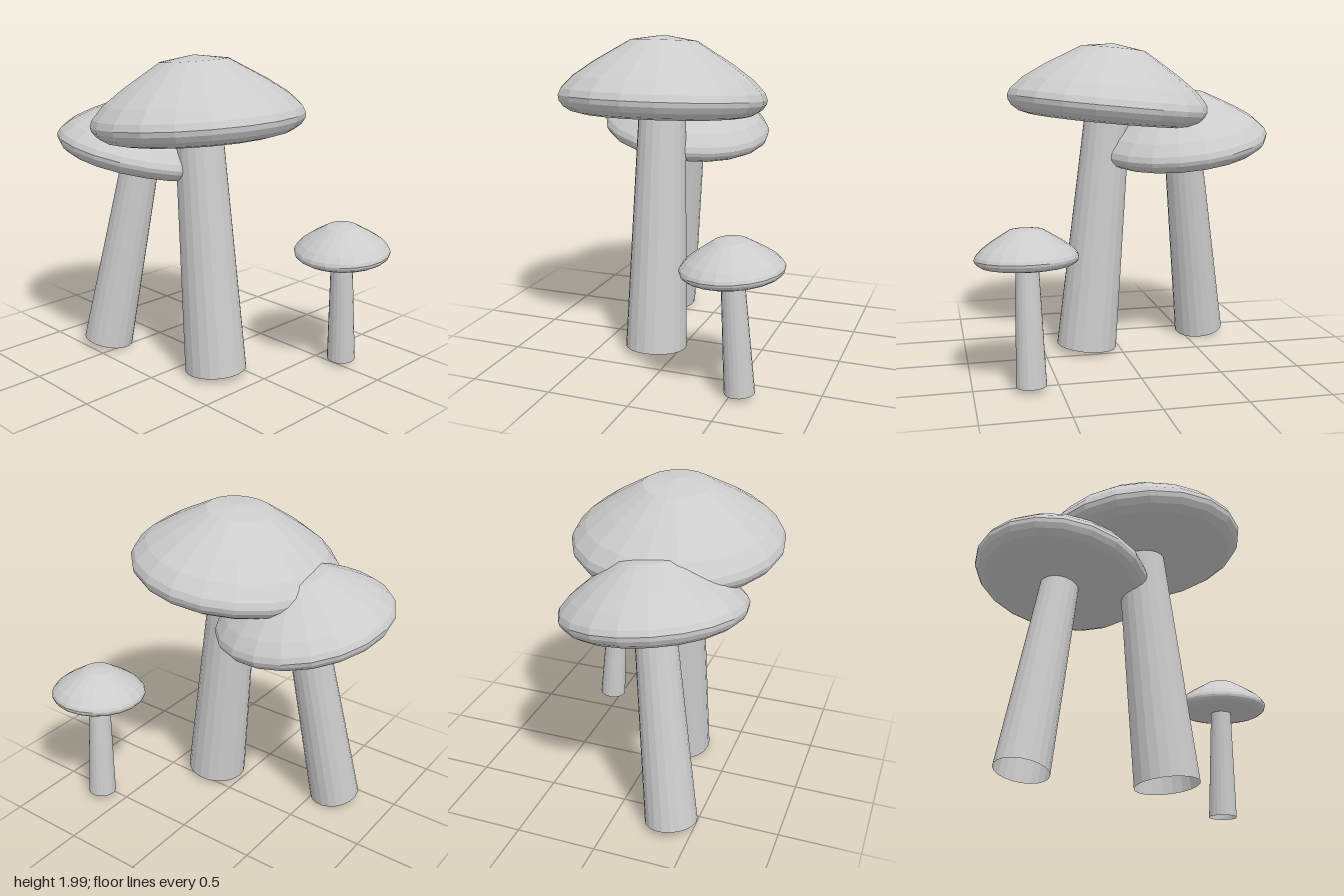
import * as THREE from 'three';

const SIDES = 20;

// Cap outline from the flat underside, round the rim and up to the crown (radius, height).
const CAP = [
  [0, 0], [0.51, 0], [0.57, 0.014], [0.618, 0.044], [0.642, 0.078], [0.648, 0.108],
  [0.632, 0.148], [0.56, 0.225], [0.434, 0.315], [0.207, 0.453], [0, 0.485],
];

// base and top are the ends of the stem's centre line; the cap sits on top, square to it.
const MUSHROOMS = [
  { name: 'largeMushroom', base: [0.215, 0.036, 0.145], top: [0.073, 1.515, 0.15], r0: 0.195, r1: 0.147, cap: 1 },
  { name: 'mediumMushroom', base: [-0.62, 0.04, 0.355], top: [-0.448, 1.285, 0.183], r0: 0.162, r1: 0.122, cap: 0.852 },
  { name: 'smallMushroom', base: [0.667, 0.036, -0.554], top: [0.676, 0.735, -0.508], r0: 0.09, r1: 0.067, cap: 0.463 },
];

function createMushroom({ name, base, top, r0, r1, cap }, material) {
  const mushroom = new THREE.Group();
  mushroom.name = name;
  const start = new THREE.Vector3(...base);
  const axis = new THREE.Vector3(...top).sub(start);
  const length = axis.length();
  mushroom.position.copy(start);
  mushroom.quaternion.setFromUnitVectors(new THREE.Vector3(0, 1, 0), axis.normalize());

  // Tapered hollow stem, open at the foot
  const stem = new THREE.Mesh(
    new THREE.CylinderGeometry(r1, r0, length, SIDES, 1, true).translate(0, length / 2, 0), material);
  stem.name = 'stem';

  // Domed cap with a rounded rim and flat underside
  const points = CAP.map(([r, h]) => new THREE.Vector2(r * cap, h * cap));
  const capMesh = new THREE.Mesh(new THREE.LatheGeometry(points, SIDES), material);
  capMesh.name = 'cap';
  capMesh.position.y = length;

  mushroom.add(stem, capMesh);
  return mushroom;
}

export function createModel() {
  const grey = new THREE.MeshStandardMaterial({ color: 0xcccccc, flatShading: true, side: THREE.DoubleSide });
  grey.name = 'light grey';
  const model = new THREE.Group();
  model.name = 'mushroomCluster';
  for (const spec of MUSHROOMS) model.add(createMushroom(spec, grey));
  return model;
}
